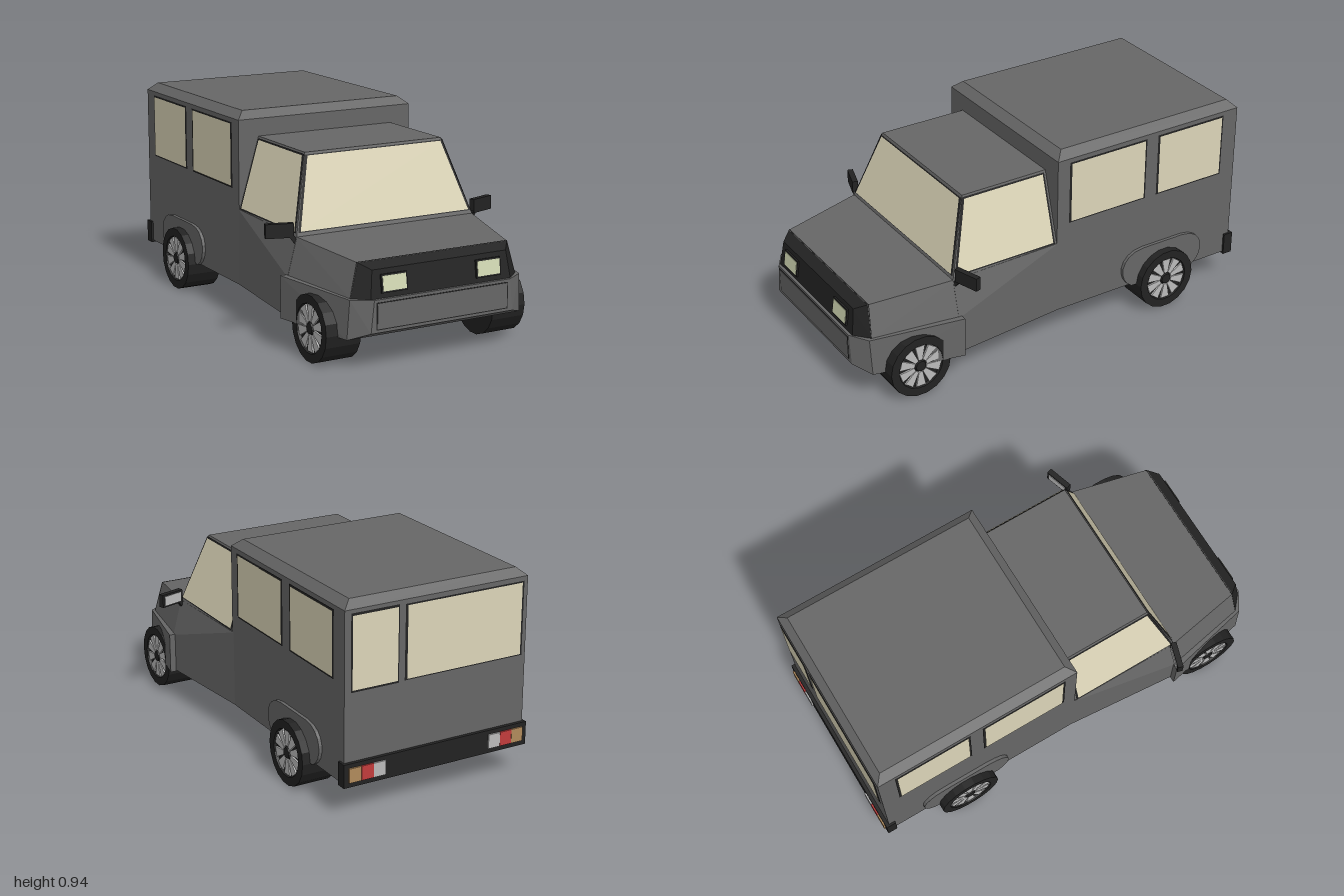
import * as THREE from 'three';
import { ConvexGeometry } from 'three/addons/geometries/ConvexGeometry.js';

const paint = (color) => new THREE.MeshStandardMaterial({ color, flatShading: true, side: THREE.DoubleSide });

export function createModel() {
  const car = new THREE.Group();
  car.name = 'van';
  const body = paint(0x666666), black = paint(0x222222), glass = paint(0xdcd5b8);
  const metal = paint(0xbbbbbb), lamp = paint(0xd3d9b4);
  const red = paint(0xc23c3c), amber = paint(0xb08a5c);

  const add = (name, geometry, material, parent = car) => {
    const mesh = new THREE.Mesh(geometry, material);
    mesh.name = name;
    parent.add(mesh);
    return mesh;
  };

  // Convex block from corner points on the +x half, mirrored to -x
  const block = (name, corners, material) => add(name, new ConvexGeometry(
    corners.flatMap(([x, y, z]) => [new THREE.Vector3(x, y, z), new THREE.Vector3(-x, y, z)])), material);

  const box = (name, w, h, d, x, y, z, material, parent = car) => {
    const mesh = add(name, new THREE.BoxGeometry(w, h, d), material, parent);
    mesh.position.set(x, y, z);
    return mesh;
  };

  // Four-cornered pane, counter-clockwise from outside, grown by a rim and lifted off the body
  const pane = (name, corners, rim, lift, material) => {
    const p = corners.map((c) => new THREE.Vector3(...c));
    const mid = p.reduce((s, c) => s.add(c), new THREE.Vector3()).multiplyScalar(0.25);
    const normal = p[1].clone().sub(p[0]).cross(p[2].clone().sub(p[0])).normalize();
    const moved = p.map((c) => c.clone()
      .addScaledVector(c.clone().sub(mid).normalize(), rim).addScaledVector(normal, lift));
    const geometry = new THREE.BufferGeometry().setFromPoints(moved);
    geometry.setIndex([0, 1, 2, 0, 2, 3]);
    geometry.computeVertexNormals();
    add(name, geometry, material);
  };
  const framedWindow = (name, corners) => {
    pane(name + 'Frame', corners, 0.012, 0.003, black);
    pane(name, corners, 0, 0.006, glass);
  };
  const mirrored = (corners) => corners.map(([x, y, z]) => [-x, y, z]).reverse();

  // Body shell
  block('rearBody', [
    [0.445, 0.15, 0.01], [0.445, 0.905, 0.01], [0.445, 0.15, -0.975], [0.445, 0.905, -0.975],
    [0.405, 0.94, -0.03], [0.405, 0.94, -0.94]], body);
  block('cabTop', [
    [0.445, 0.49, 0.545], [0.345, 0.825, 0.435], [0.345, 0.825, 0], [0.445, 0.49, 0]], body);
  block('cabLower', [
    [0.445, 0.5, 0], [0.445, 0.15, 0], [0.445, 0.49, 0.545],
    [0.49, 0.32, 0.545], [0.49, 0.145, 0.545]], body);
  block('bonnet', [
    [0.445, 0.49, 0.54], [0.49, 0.32, 0.54], [0.49, 0.145, 0.54],
    [0.37, 0.455, 0.92], [0.41, 0.31, 0.93], [0.41, 0.15, 0.93]], body);
  block('grille', [
    [0.373, 0.457, 0.915], [0.412, 0.308, 0.928], [0.33, 0.43, 0.968], [0.345, 0.308, 0.986]], black);
  block('frontBumper', [
    [0.517, 0.328, 0.53], [0.517, 0.14, 0.53], [0.42, 0.31, 0.945], [0.43, 0.14, 0.94],
    [0.335, 0.31, 0.998], [0.35, 0.17, 0.998]], body);
  box('bumperPanelEdge', 0.65, 0.117, 0.004, 0, 0.24, 0.997, black);
  box('bumperPanel', 0.64, 0.108, 0.006, 0, 0.24, 0.997, body);
  box('rearBumper', 0.91, 0.105, 0.047, 0, 0.193, -0.968, black);

  // Windows
  framedWindow('windscreen', [
    [-0.425, 0.508, 0.539], [0.425, 0.508, 0.539], [0.337, 0.81, 0.44], [-0.337, 0.81, 0.44]]);
  const sideWindows = {
    cabWindow: [[0.44, 0.508, 0.525], [0.44, 0.508, 0.03], [0.35, 0.81, 0.03], [0.35, 0.81, 0.43]],
    middleWindow: [[0.445, 0.595, -0.06], [0.445, 0.595, -0.455], [0.445, 0.88, -0.455], [0.445, 0.88, -0.06]],
    backWindow: [[0.445, 0.595, -0.535], [0.445, 0.595, -0.885], [0.445, 0.88, -0.885], [0.445, 0.88, -0.535]],
  };
  for (const [name, corners] of Object.entries(sideWindows)) {
    framedWindow(name + 'Left', corners);
    framedWindow(name + 'Right', mirrored(corners));
  }
  for (const [name, a, b] of [['rearWindowSmall', 0.41, 0.195], ['rearWindowLarge', 0.15, -0.415]]) {
    framedWindow(name, [[a, 0.56, -0.975], [b, 0.56, -0.975], [b, 0.88, -0.975], [a, 0.88, -0.975]]);
  }

  // Rear wheel arch outline: rounded top, cut flat below
  const arch = new THREE.Shape();
  arch.moveTo(-0.17, 0.15);
  arch.bezierCurveTo(-0.25, 0.19, -0.25, 0.33, -0.11, 0.333);
  arch.lineTo(0.11, 0.333);
  arch.bezierCurveTo(0.25, 0.33, 0.25, 0.19, 0.17, 0.15);
  const archGeometry = new THREE.ExtrudeGeometry(arch, {
    depth: 0.015, bevelEnabled: false, curveSegments: 8 }).rotateY(Math.PI / 2);

  // Wheel with its outer face towards +x: tyre, rim spokes and hub cap
  const tyreProfile = [[0, -0.083], [0.147, -0.083], [0.147, 0.083], [0.108, 0.083], [0.104, 0.07], [0, 0.07]]
    .map(([r, h]) => new THREE.Vector2(r, h));
  const tyreGeometry = new THREE.LatheGeometry(tyreProfile, 18).rotateZ(-Math.PI / 2);
  const spoke = new THREE.Shape([[-0.009, 0.03], [0.009, 0.03], [0.023, 0.101], [-0.023, 0.101]]
    .map(([x, y]) => new THREE.Vector2(x, y)));
  const spokeGeometry = new THREE.ExtrudeGeometry(spoke, { depth: 0.009, bevelEnabled: false })
    .rotateY(Math.PI / 2);
  const hubGeometry = new THREE.CylinderGeometry(0.024, 0.028, 0.014, 12).rotateZ(-Math.PI / 2);
  const wheel = (name, x, z, side) => {
    const group = new THREE.Group();
    group.name = name;
    add('tyre', tyreGeometry, black, group);
    for (let i = 0; i < 10; i++) {
      const s = add('spoke', spokeGeometry, metal, group);
      s.position.x = 0.069;
      s.rotation.x = (i * Math.PI) / 5;
    }
    add('hub', hubGeometry, black, group).position.x = 0.075;
    group.position.set(side * x, 0.147, z);
    if (side < 0) group.rotation.y = Math.PI;
    car.add(group);
  };

  for (const side of [1, -1]) {
    const label = side > 0 ? 'Left' : 'Right';
    wheel('frontWheel' + label, 0.413, 0.74, side);
    wheel('rearWheel' + label, 0.413, -0.575, side);
    add('rearArch' + label, archGeometry, body).position.set(side > 0 ? 0.445 : -0.46, 0, -0.572);

    // Headlight, tilted with the grille
    const light = new THREE.Group();
    light.name = 'headlight' + label;
    box('frame', 0.124, 0.078, 0.01, 0, 0, 0, black, light);
    box('lens', 0.112, 0.064, 0.014, 0, 0, 0, lamp, light);
    light.position.set(side * 0.232, 0.37, 0.98);
    light.rotation.x = -0.14;
    car.add(light);

    // Door mirror with stalk and glass
    const mirror = new THREE.Group();
    mirror.name = 'doorMirror' + label;
    box('housing', 0.122, 0.062, 0.026, 0, 0, 0, black, mirror);
    box('mirrorGlass', 0.1, 0.044, 0.004, 0, 0, -0.014, metal, mirror);
    const stalk = box('stalk', 0.05, 0.02, 0.018, side * -0.058, -0.034, 0, black, mirror);
    stalk.rotation.z = side * 0.9;
    mirror.position.set(side * 0.512, 0.519, 0.513);
    mirror.rotation.y = side * 0.3;
    car.add(mirror);

    // Tail light: amber, red and clear sections from the outside in
    [amber, red, metal].forEach((material, i) =>
      box('tailLight' + label, 0.058, 0.064, 0.014, side * (0.404 - i * 0.059), 0.195, -0.992, material));
  }
  return car;
}
